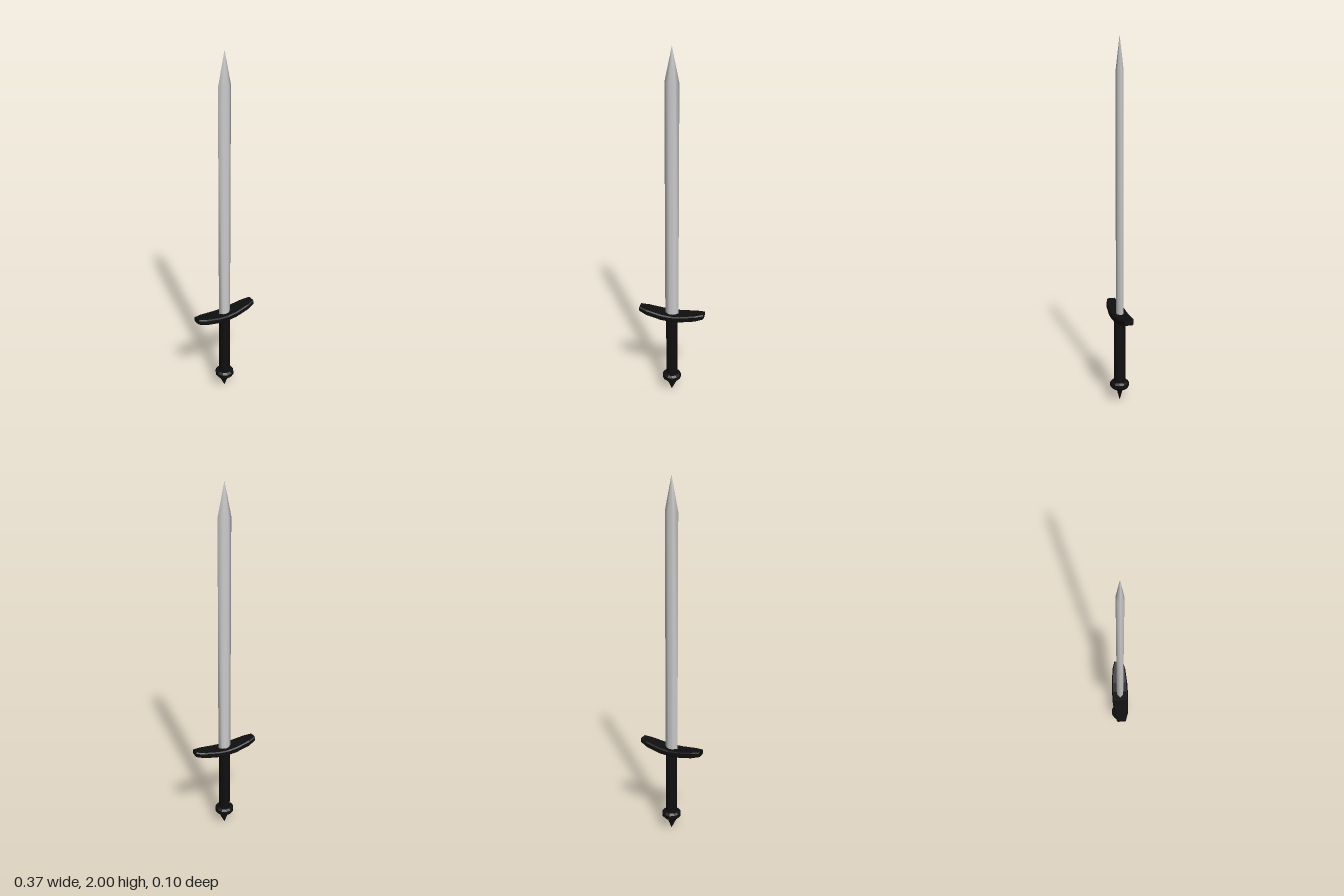
import * as THREE from 'three';

const steel = new THREE.MeshStandardMaterial({ color: 0xcccccc });
const black = new THREE.MeshStandardMaterial({ color: 0x0f0f0f, flatShading: true });

// Skin a row of equal rings (each counter-clockwise about the axis) and cap both ends
function loft(rings) {
  const n = rings[0].length;
  const last = (rings.length - 1) * n;
  const index = [];
  for (let i = 0; i < rings.length - 1; i++) {
    for (let j = 0; j < n; j++) {
      const a = i * n + j, b = i * n + (j + 1) % n;
      index.push(a, b, a + n, b, b + n, a + n);
    }
  }
  for (let j = 1; j < n - 1; j++) {
    index.push(0, j + 1, j, last, last + j, last + j + 1);
  }
  const geometry = new THREE.BufferGeometry();
  geometry.setAttribute('position', new THREE.Float32BufferAttribute(rings.flat(2), 3));
  geometry.setIndex(index);
  geometry.computeVertexNormals();
  return geometry;
}

// Flattened blade section at height y, scaled by s
function bladeRing(y, s) {
  const half = [[0.038, 0], [0.02, 0.016], [0.009, 0.019], [-0.009, 0.019], [-0.02, 0.016]];
  return [...half, ...half.map(([x, z]) => [-x, -z])].map(([x, z]) => [x * s, y, -z * s]);
}

// Chamfered guard section at x: bottom height, thickness and half depth
function guardRing(x, y, h, w) {
  const c = 0.006;
  return [
    [y + h, -w + c], [y + h, w - c], [y + h - c, w], [y + c, w],
    [y, w - c], [y, -w + c], [y + c, -w], [y + h - c, -w],
  ].map(([py, pz]) => [x, py, pz]);
}

// Twelve-sided turned part with flats facing the axes
function turned(points) {
  const profile = points.map(([r, y]) => new THREE.Vector2(r, y));
  return new THREE.LatheGeometry(profile, 12, Math.PI / 12);
}

export function createModel() {
  const group = new THREE.Group();
  const add = (name, geometry, material) => {
    const mesh = new THREE.Mesh(geometry, material);
    mesh.name = name;
    group.add(mesh);
  };

  // Straight blade with a pointed end
  add('blade', loft([bladeRing(0.5, 1), bladeRing(1.825, 1), bladeRing(2, 0.01)]), steel);

  // Crossguard, curving up and narrowing toward both ends
  const side = [[0.184, 0.514, 0.029, 0.025], [0.14, 0.501, 0.034, 0.038], [0.055, 0.487, 0.034, 0.046]];
  const stations = [
    ...side.map(([x, ...rest]) => [-x, ...rest]),
    [0, 0.484, 0.033, 0.047],
    ...side.slice().reverse(),
  ];
  add('crossguard', loft(stations.map((s) => guardRing(...s))), black);

  // Grip
  add('grip', turned([[0, 0.1], [0.032, 0.1], [0.032, 0.5], [0, 0.5]]), black);

  // Pommel collar and the flattened spike under it
  add('pommel', turned([[0, 0.074], [0.042, 0.074], [0.053, 0.086], [0.053, 0.106], [0.042, 0.116], [0, 0.116]]), black);
  add('pommelSpike', loft([bladeRing(0, 0.01), bladeRing(0.078, 1)]), black);

  return group;
}
